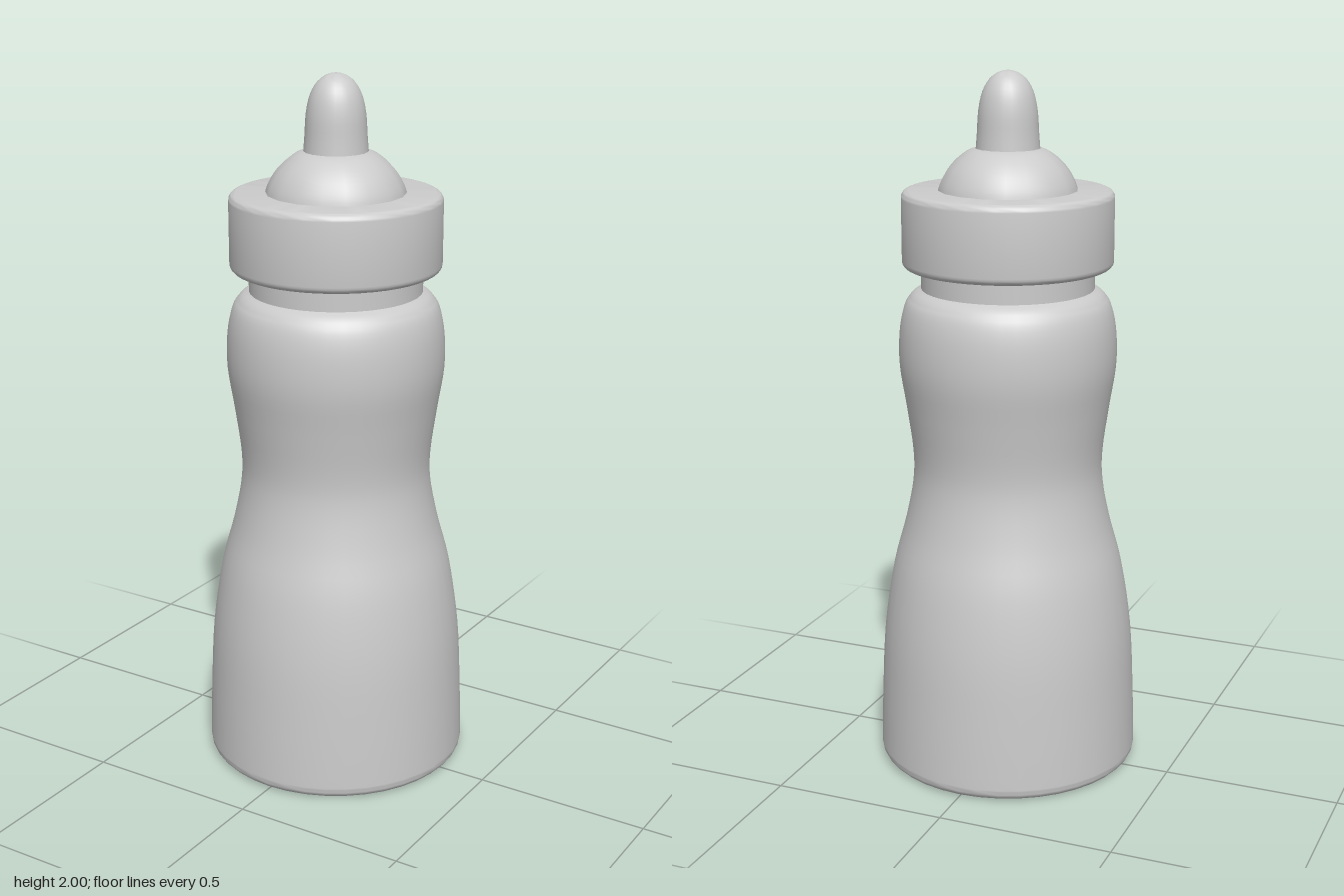
import * as THREE from 'three';
import { toCreasedNormals } from 'three/addons/utils/BufferGeometryUtils.js';

const material = new THREE.MeshStandardMaterial({ color: 0xcccccc, side: THREE.DoubleSide });

// Smooth curve through [radius, height] pairs
function smooth(pairs, steps) {
  return new THREE.SplineCurve(pairs.map(([r, y]) => new THREE.Vector2(r, y))).getPoints(steps);
}

// Rounded corner as an arc from angle a0 to a1 in degrees
function corner(cx, cy, radius, a0, a1) {
  return Array.from({ length: 6 }, (_, i) => {
    const a = THREE.MathUtils.degToRad(a0 + (a1 - a0) * i / 5);
    return new THREE.Vector2(cx + radius * Math.cos(a), cy + radius * Math.sin(a));
  });
}

// Turned part with smooth sides and sharp rims
function turned(name, points, sides) {
  const geometry = toCreasedNormals(new THREE.LatheGeometry(points, sides), 0.7);
  const mesh = new THREE.Mesh(geometry, material);
  mesh.name = name;
  return mesh;
}

export function createModel() {
  const group = new THREE.Group();
  group.name = 'babyBottle';
  const v = (r, y) => new THREE.Vector2(r, y);

  // Waisted bottle with rounded base edge and shoulder
  const side = smooth([
    [0.376, 0.035], [0.371, 0.2], [0.36, 0.4], [0.333, 0.58], [0.296, 0.72],
    [0.273, 0.84], [0.271, 0.93], [0.288, 1.06], [0.306, 1.18],
    [0.305, 1.28], [0.291, 1.35], [0.268, 1.385], [0.243, 1.4],
  ], 48);
  group.add(turned('bottleBody', [v(0, 0), v(0.34, 0), ...corner(0.346, 0.03, 0.03, -90, 0), ...side], 40));

  // Neck between shoulder and cap
  group.add(turned('neck', [v(0.243, 1.39), v(0.243, 1.49)], 40));

  // Screw collar with rounded rims
  group.add(turned('collar', [
    v(0.2, 1.46), ...corner(0.276, 1.48, 0.02, -90, 0),
    ...corner(0.276, 1.655, 0.02, 0, 90), v(0, 1.675),
  ], 48));

  // Dome at the foot of the teat
  group.add(turned('teatDome', smooth([
    [0.197, 1.665], [0.188, 1.695], [0.166, 1.733], [0.132, 1.767], [0.09, 1.789], [0, 1.8],
  ], 16), 18));

  // Teat tip
  group.add(turned('teatTip', smooth([
    [0.09, 1.78], [0.086, 1.83], [0.082, 1.89], [0.071, 1.94], [0.051, 1.975], [0.025, 1.994], [0, 2],
  ], 18), 24));

  return group;
}
